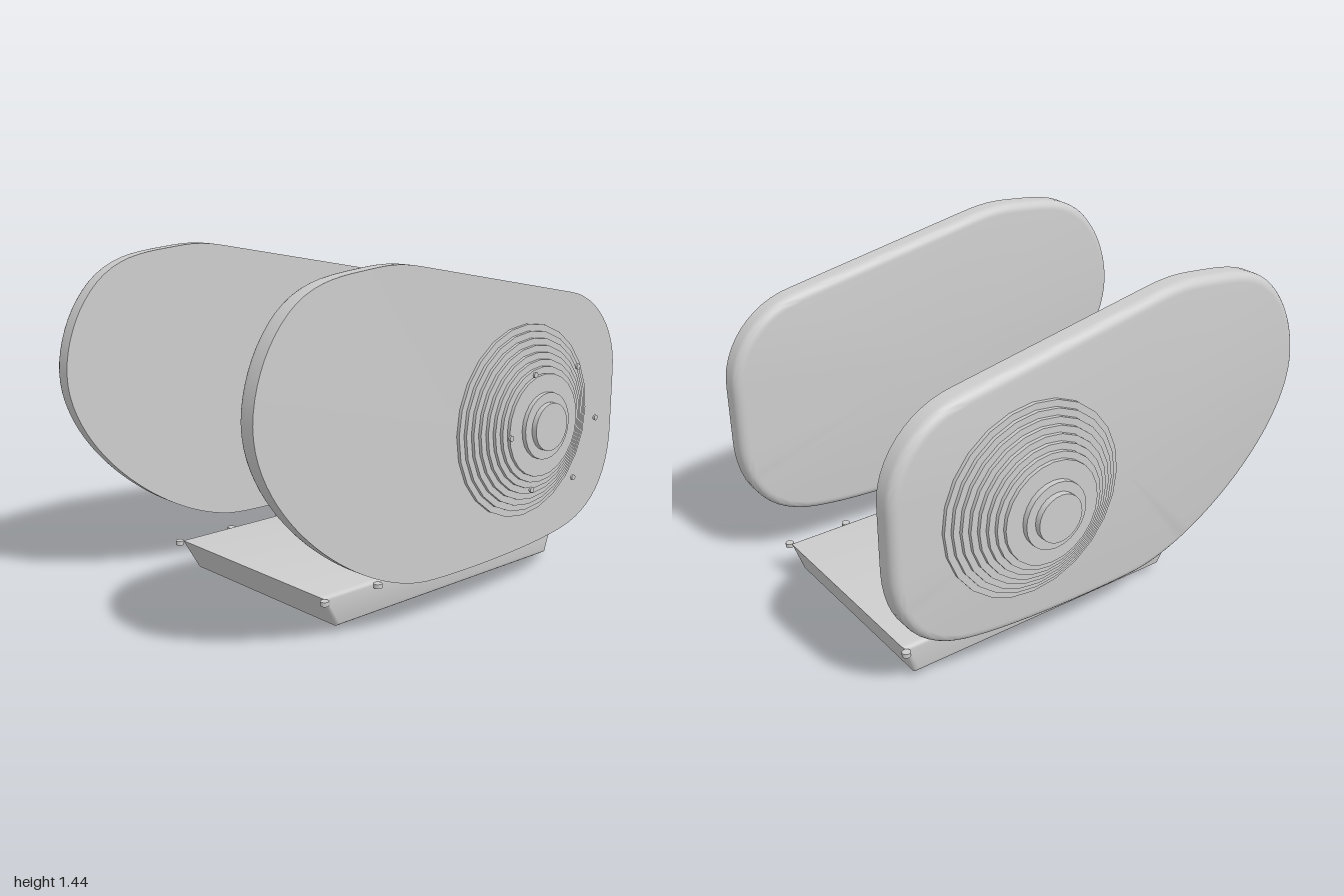
import * as THREE from 'three';
import { toCreasedNormals } from 'three/addons/utils/BufferGeometryUtils.js';

const grey = new THREE.MeshStandardMaterial({ color: 0xcccccc });
grey.name = 'light grey';

function add(parent, name, geometry, x = 0, y = 0, z = 0) {
  const mesh = new THREE.Mesh(geometry, grey);
  mesh.name = name;
  mesh.position.set(x, y, z);
  parent.add(mesh);
  return mesh;
}

// Egg-shaped cover outline, counter-clockwise seen from the front
function coverOutline() {
  const p = new THREE.Path();
  p.moveTo(-0.2, 1.425);
  p.lineTo(0.7, 1.255);
  p.bezierCurveTo(0.88, 1.215, 1, 1.06, 1, 0.9);
  p.lineTo(1, 0.64);
  p.bezierCurveTo(1, 0.45, 0.92, 0.28, 0.68, 0.235);
  p.bezierCurveTo(0.45, 0.19, 0, 0.19, -0.15, 0.2);
  p.bezierCurveTo(-0.5, 0.225, -1, 0.6, -1, 0.95);
  p.bezierCurveTo(-1, 1.05, -0.96, 1.17, -0.9, 1.25);
  p.bezierCurveTo(-0.78, 1.42, -0.62, 1.42, -0.45, 1.437);
  p.bezierCurveTo(-0.37, 1.445, -0.3, 1.445, -0.2, 1.425);
  return p.getSpacedPoints(120).slice(0, -1).reverse();
}

// Plate with a flat front and a rounded rear edge, built from inset loops
function coverGeometry(depth, radius) {
  const outline = coverOutline();
  const n = outline.length;
  const loop = (inset, z) => outline.map((p, i) => {
    const t = outline[(i + 1) % n].clone().sub(outline[(i + n - 1) % n]).normalize();
    return [p.x - t.y * inset, p.y + t.x * inset, z];
  });
  const centre = (z) => outline.map(() => [0, 0.8, z]);
  const loops = [centre(depth), loop(0, depth), loop(0, radius)];
  for (let k = 1; k <= 6; k++) {
    const a = (k / 6) * Math.PI / 2;
    loops.push(loop(radius * (1 - Math.cos(a)), radius * (1 - Math.sin(a))));
  }
  loops.push(centre(0));
  const pos = [];
  for (let r = 0; r < loops.length - 1; r++) {
    for (let i = 0; i < n; i++) {
      const j = (i + 1) % n;
      const [a, b, c, d] = [loops[r][i], loops[r + 1][i], loops[r + 1][j], loops[r][j]];
      if (r < loops.length - 2) pos.push(...a, ...b, ...c);
      if (r > 0) pos.push(...a, ...c, ...d);
    }
  }
  const g = new THREE.BufferGeometry();
  g.setAttribute('position', new THREE.Float32BufferAttribute(pos, 3));
  return toCreasedNormals(g, 0.6);
}

// Stack of shrinking discs ending in a raised hub; side is +1 front, -1 back
function steppedDome(name, side, base, step, collarTop, hubTop) {
  const dome = new THREE.Group();
  dome.name = name;
  const disc = (label, radius, top) => {
    const h = top - base + 0.02;
    const m = add(dome, label, new THREE.CylinderGeometry(radius, radius, h, 24),
      0.395, 0.755, side * (top - h / 2));
    m.rotation.x = Math.PI / 2;
  };
  for (let i = 0; i < 8; i++) disc('stepRing', 0.4 - i * 0.027, base + (i + 1) * step);
  disc('hubCollar', 0.137, collarTop);
  disc('hub', 0.098, hubTop);
  return dome;
}

export function createModel() {
  const model = new THREE.Group();
  model.name = 'engineCovers';

  // Side covers
  const cover = coverGeometry(0.092, 0.04);
  add(model, 'frontCover', cover, 0, 0, 0.56);
  add(model, 'backCover', cover, 0, 0, -0.645);
  model.add(steppedDome('frontDome', 1, 0.652, 0.0135, 0.778, 0.8));
  model.add(steppedDome('backDome', -1, 0.645, 0.0155, 0.792, 0.817));

  // Ring of small bolts ahead of the front dome
  const smallBolt = new THREE.CylinderGeometry(0.012, 0.012, 0.009, 8);
  for (let i = 0; i < 6; i++) {
    const a = (i * Math.PI) / 3;
    add(model, 'domeBolt', smallBolt, 0.395 + 0.267 * Math.cos(a), 0.755 + 0.267 * Math.sin(a), 0.814)
      .rotation.x = Math.PI / 2;
  }

  // Tapered pan with softened ends
  const trapezoid = new THREE.Shape([[-0.455, 0.037], [0.82, 0.037], [0.868, 0.175], [-0.536, 0.175]]
    .map(([x, y]) => new THREE.Vector2(x, y)));
  const bevel = 0.022;
  const pan = new THREE.ExtrudeGeometry(trapezoid, {
    depth: 0.932 - 2 * bevel, bevelThickness: bevel, bevelSize: bevel, bevelOffset: -bevel, bevelSegments: 4,
  });
  pan.translate(0, 0, bevel - 0.466);
  add(model, 'pan', toCreasedNormals(pan, 0.6));

  // Rim bolts along both long edges of the pan
  const rimBolt = new THREE.CylinderGeometry(0.018, 0.018, 0.018, 12);
  for (const z of [-0.478, 0.478]) {
    for (let i = 0; i < 6; i++) add(model, 'rimBolt', rimBolt, -0.535 + i * 0.28, 0.16, z);
  }

  // Hexagonal drain plug
  const plug = new THREE.CylinderGeometry(0.043, 0.043, 0.045, 6);
  plug.rotateY(Math.PI / 2);
  add(model, 'drainPlug', toCreasedNormals(plug, 0.5), 0.165, 0.0225, 0);

  return model;
}
